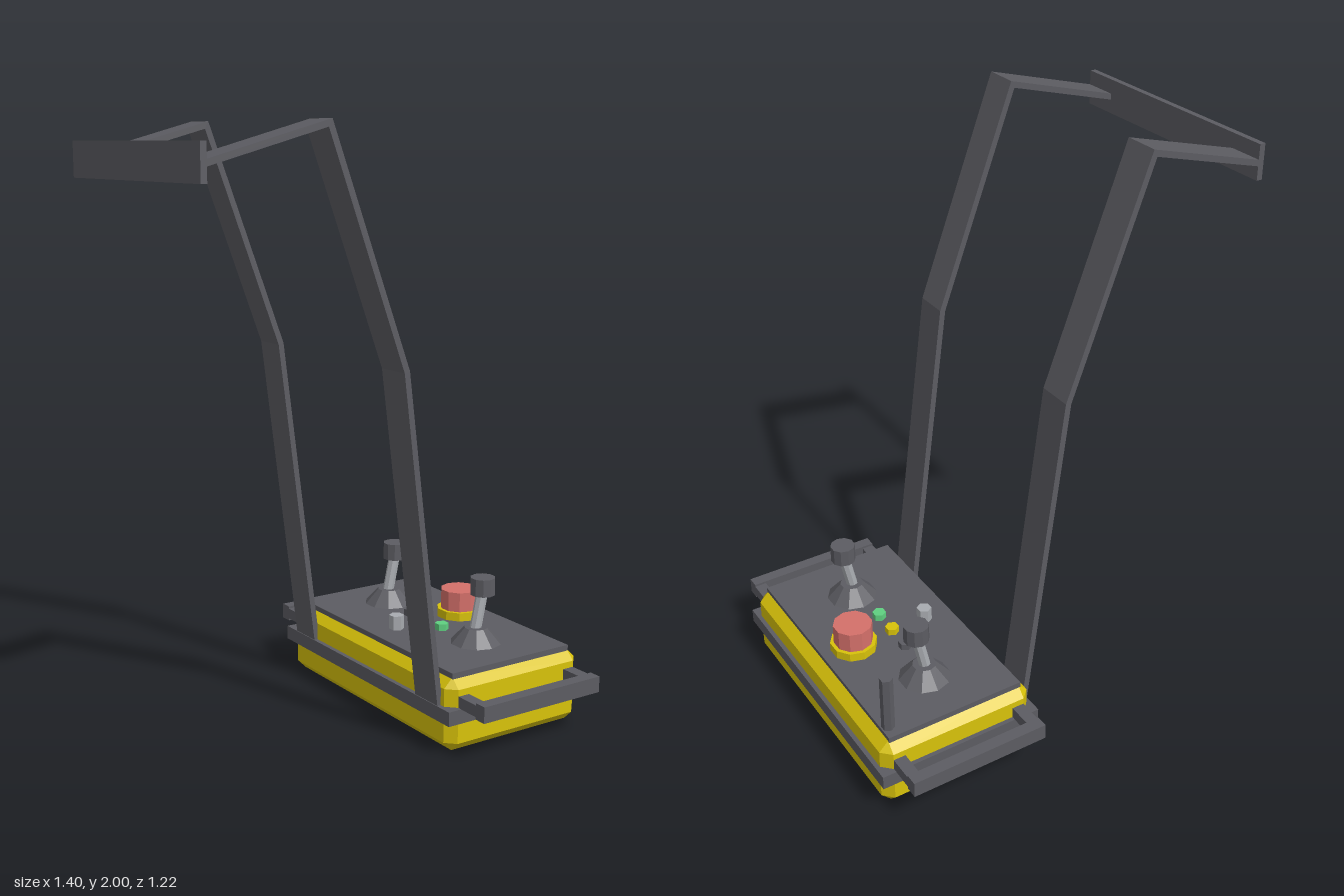
import * as THREE from 'three';
import { ConvexGeometry } from 'three/addons/geometries/ConvexGeometry.js';

const paint = (name, color) => {
  const m = new THREE.MeshStandardMaterial({ color, flatShading: true });
  m.name = name;
  return m;
};

export function createModel() {
  const grey = paint('dark grey', 0x5c5c62);
  const yellow = paint('yellow', 0xd8c20a);
  const red = paint('red', 0xd4706a);
  const green = paint('green', 0x5fd080);
  const metal = paint('light metal', 0xa8abb0);

  const model = new THREE.Group();
  model.name = 'remoteControlUnit';

  const add = (name, geometry, material) => {
    const mesh = new THREE.Mesh(geometry, material);
    mesh.name = name;
    model.add(mesh);
    return mesh;
  };
  // Box given by its limits on each axis
  const box = (name, x0, x1, y0, y1, z0, z1, material) =>
    add(name, new THREE.BoxGeometry(x1 - x0, y1 - y0, z1 - z0), material)
      .position.set((x0 + x1) / 2, (y0 + y1) / 2, (z0 + z1) / 2);
  // Upright faceted cylinder or cone standing at (x, z)
  const post = (name, x, z, y0, y1, rTop, rBottom, sides, material) =>
    add(name, new THREE.CylinderGeometry(rTop, rBottom, y1 - y0, sides), material)
      .position.set(x, (y0 + y1) / 2, z);

  // Housing: box with every edge chamfered
  const half = [0.277, 0.125, 0.48], chamfer = 0.033;
  const corners = [];
  for (const sx of [-1, 1]) for (const sy of [-1, 1]) for (const sz of [-1, 1])
    for (let full = 0; full < 3; full++) {
      const p = half.map((h, i) => (i === full ? h : h - chamfer));
      corners.push(new THREE.Vector3(p[0] * sx, p[1] * sy, p[2] * sz));
    }
  add('housing', new ConvexGeometry(corners), yellow).position.set(0.408, 0.125, 0);
  box('belt', 0.115, 0.7, 0.108, 0.157, -0.495, 0.495, grey);
  box('controlPanel', 0.16, 0.652, 0.245, 0.265, -0.453, 0.453, grey);

  // Neck strap: a flat ribbon bent in the side plane
  const path = [[0.128, 0.155], [-0.015, 1.255], [-0.29, 1.99], [-0.69, 1.88]]
    .map(([x, y]) => new THREE.Vector2(x, y));
  const t = 0.01;
  const normals = path.slice(1).map((p, i) => {
    const d = p.clone().sub(path[i]).normalize();
    return new THREE.Vector2(-d.y, d.x);
  });
  const offset = (s) => path.map((p, i) => {
    const a = normals[Math.max(i - 1, 0)], b = normals[Math.min(i, normals.length - 1)];
    const miter = a.clone().add(b).normalize();
    return p.clone().addScaledVector(miter, (s * t) / miter.dot(a));
  });
  const ribbon = new THREE.Shape([...offset(1), ...offset(-1).reverse()]);
  for (const [side, z] of [['left', 0.31], ['right', -0.43]]) {
    const g = new THREE.ExtrudeGeometry(ribbon, { depth: 0.12, bevelEnabled: false });
    add(`${side}Strap`, g, grey).position.z = z;
  }
  box('strapCrossbar', -0.705, -0.685, 1.825, 1.94, -0.43, 0.43, grey);

  for (const s of [1, -1]) {
    // End grab handle
    const span = (a, b) => (s > 0 ? [a, b] : [-b, -a]);
    box('grabBar', 0.165, 0.652, 0.148, 0.203, ...span(0.568, 0.61), grey);
    for (const x of [0.165, 0.61])
      box('grabBarLeg', x, x + 0.042, 0.156, 0.195, ...span(0.46, 0.57), grey);

    // Joystick leaning away from the operator
    const z = s * 0.257;
    post('joystickBoot', 0.41, z, 0.265, 0.318, 0.04, 0.088, 10, grey);
    const from = new THREE.Vector3(0.405, 0.3, z), to = new THREE.Vector3(0.437, 0.45, z);
    const stick = add('joystickStick', new THREE.CylinderGeometry(0.02, 0.02, from.distanceTo(to), 8), metal);
    stick.position.copy(from).lerp(to, 0.5);
    stick.quaternion.setFromUnitVectors(new THREE.Vector3(0, 1, 0), to.clone().sub(from).normalize());
    post('joystickKnob', 0.436, z, 0.43, 0.49, 0.043, 0.043, 10, grey);
  }

  // Stop button, indicators and aerial
  post('stopButtonCollar', 0.538, 0, 0.265, 0.295, 0.08, 0.08, 10, yellow);
  post('stopButton', 0.538, 0, 0.295, 0.365, 0.067, 0.067, 10, red);
  post('keySwitch', 0.262, 0, 0.265, 0.315, 0.026, 0.026, 6, metal);
  post('yellowIndicator', 0.39, 0, 0.265, 0.288, 0.024, 0.024, 6, yellow);
  post('greenIndicator', 0.39, 0.092, 0.265, 0.288, 0.024, 0.024, 6, green);
  post('greyIndicator', 0.39, -0.093, 0.265, 0.288, 0.024, 0.024, 6, grey);
  post('aerial', 0.628, -0.405, 0.265, 0.465, 0.022, 0.022, 6, grey);

  return model;
}
